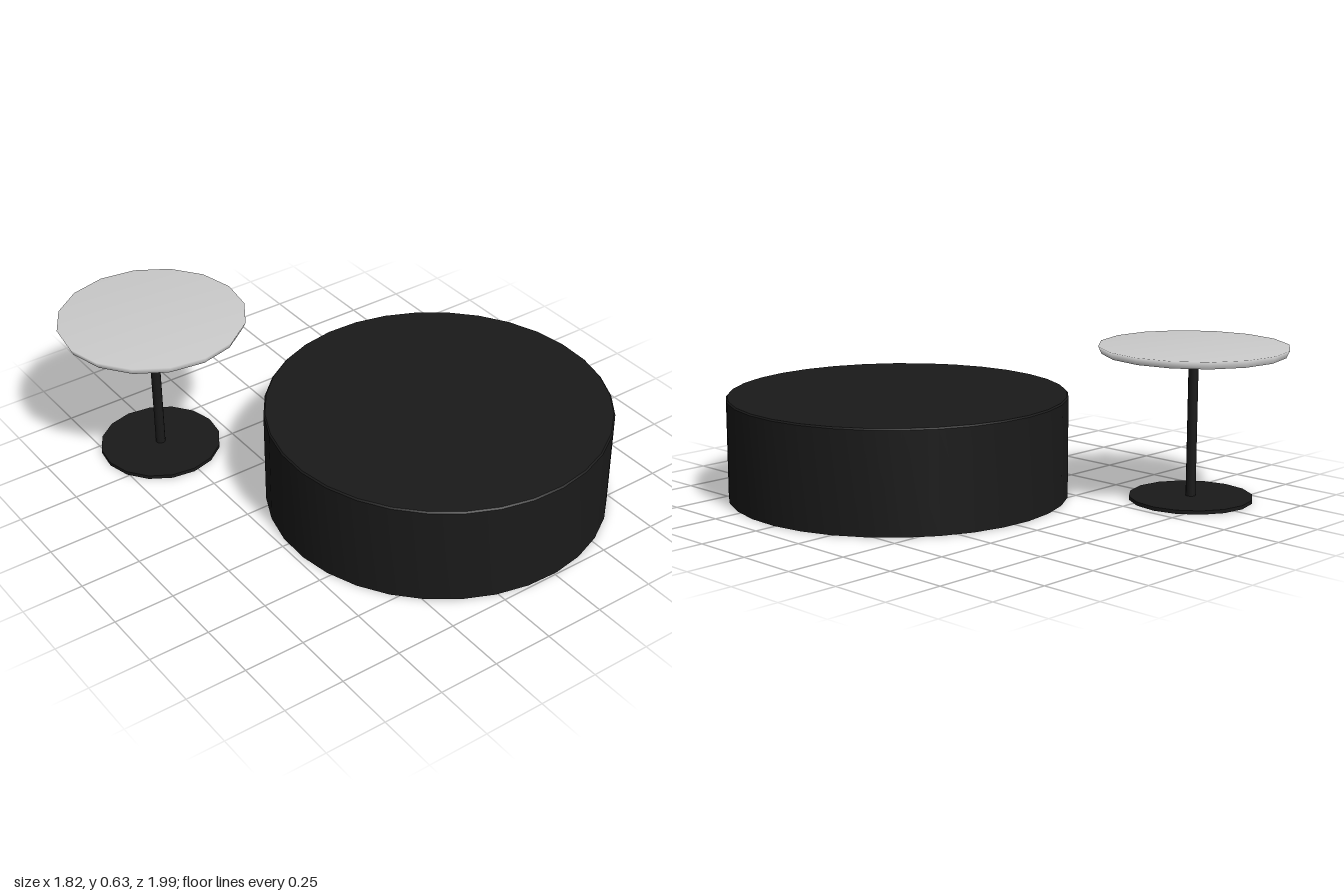
import * as THREE from 'three';
import { toCreasedNormals } from 'three/addons/utils/BufferGeometryUtils.js';

const black = new THREE.MeshStandardMaterial({ color: 0x1a1a1a, side: THREE.DoubleSide });
const grey = new THREE.MeshStandardMaterial({ color: 0xcccccc, side: THREE.DoubleSide });

// Profile points run from the bottom upwards
function lathe(profile, sides) {
  return new THREE.LatheGeometry(profile.map(([r, y]) => new THREE.Vector2(r, y)), sides);
}

function addPart(parent, name, geometry, material) {
  const mesh = new THREE.Mesh(geometry, material);
  mesh.name = name;
  parent.add(mesh);
  return mesh;
}

export function createModel() {
  const model = new THREE.Group();
  model.name = 'coffeeTableSet';

  // Large low drum, hollow and open underneath, with a fine bevel round the top
  const drumShell = lathe([[0.692, 0], [0.692, 0.408], [0.686, 0.414], [0, 0.414]], 32);
  const drum = addPart(model, 'drumTable', toCreasedNormals(drumShell, 0.6), black);
  drum.position.set(0.217, 0, 0.303);
  drum.rotation.y = 0.063;

  // Tall side table: round foot, slim post and a top with a tapered, open skirt
  const sideTable = new THREE.Group();
  sideTable.name = 'sideTable';
  sideTable.position.set(-0.532, 0, -0.617);
  sideTable.rotation.y = 0.047;
  model.add(sideTable);

  const foot = addPart(sideTable, 'foot', new THREE.CylinderGeometry(0.25, 0.25, 0.015, 16), black);
  foot.position.y = 0.0075;

  const post = addPart(sideTable, 'post', new THREE.CylinderGeometry(0.02, 0.02, 0.605, 12), black);
  post.position.y = 0.3125;

  addPart(sideTable, 'tableTop', lathe([[0.368, 0.597], [0.382, 0.627], [0, 0.627]], 16), grey);

  return model;
}
